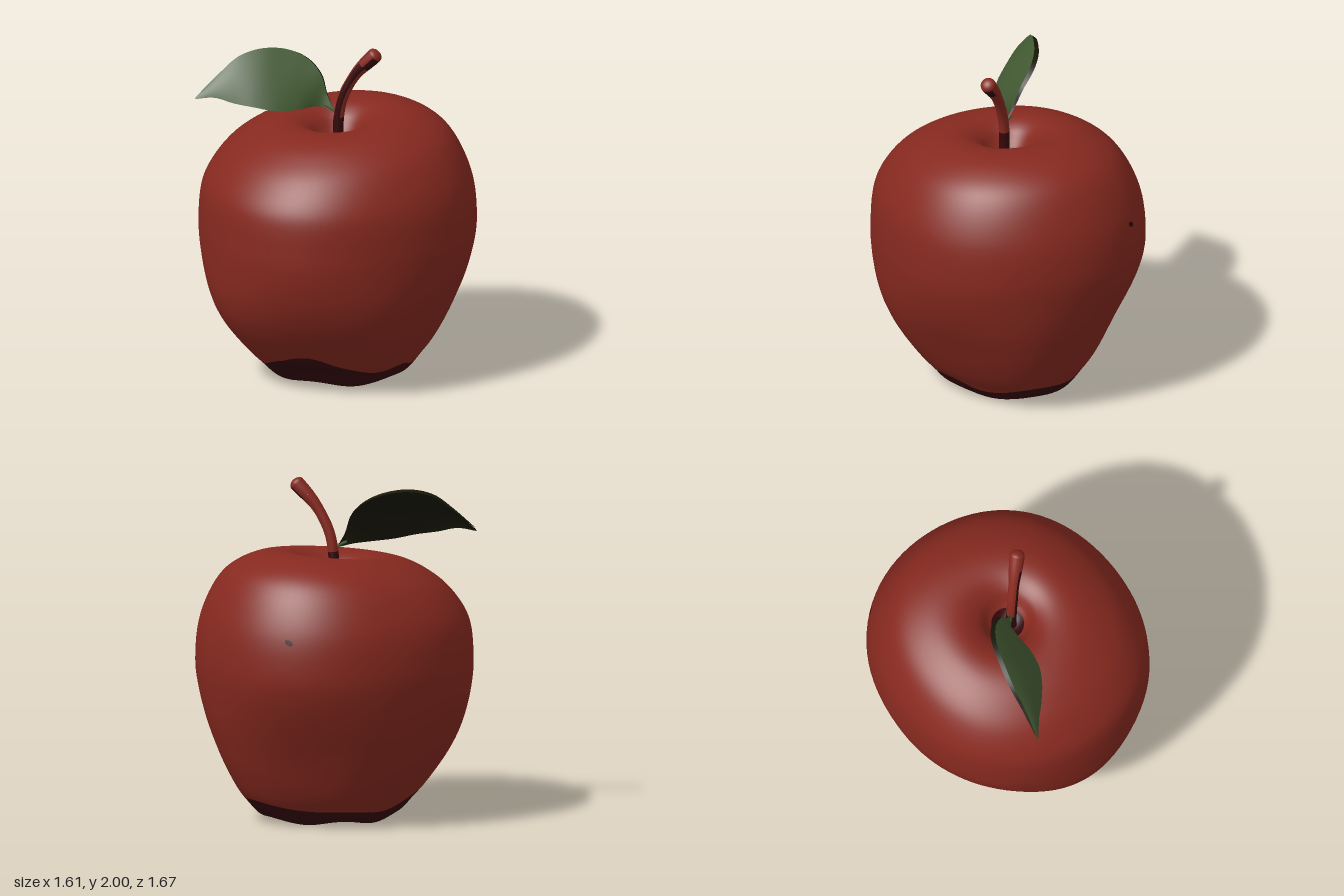
import * as THREE from 'three';

const mat = (name, color) => {
  const m = new THREE.MeshStandardMaterial({ color });
  m.name = name;
  return m;
};

// Smooth grid surface from fn(u, v) -> Vector3, facing along du x dv
function surface(fn, nu, nv) {
  const pos = [], nor = [], idx = [], e = 1e-3;
  for (let j = 0; j <= nv; j++) {
    for (let i = 0; i <= nu; i++) {
      const u = i / nu, v = j / nv;
      const du = fn(u + e, v).sub(fn(u - e, v));
      const dv = fn(u, v + e).sub(fn(u, v - e));
      pos.push(...fn(u, v).toArray());
      nor.push(...du.cross(dv).normalize().toArray());
      if (i < nu && j < nv) {
        const a = j * (nu + 1) + i, b = a + nu + 1;
        idx.push(a, a + 1, b, a + 1, b + 1, b);
      }
    }
  }
  const g = new THREE.BufferGeometry();
  g.setAttribute('position', new THREE.Float32BufferAttribute(pos, 3));
  g.setAttribute('normal', new THREE.Float32BufferAttribute(nor, 3));
  g.setIndex(idx);
  return g;
}

const curve = (pts) => new THREE.CatmullRomCurve3(pts.map(([x, y, z = 0]) => new THREE.Vector3(x, y, z)));
const clamp = (t) => THREE.MathUtils.clamp(t, 0, 1);
const smooth = THREE.MathUtils.smoothstep;
const TURN = Math.PI * 2;

// Fruit profile (radius, height) from the underside hollow to the stem hollow
const profile = curve([
  [0.001, 0.2], [0.1, 0.17], [0.2, 0.07], [0.3, 0.018], [0.39, 0.03], [0.475, 0.12], [0.54, 0.2],
  [0.662, 0.4], [0.749, 0.6], [0.798, 0.8], [0.81, 0.95], [0.782, 1.19], [0.667, 1.4], [0.54, 1.5],
  [0.39, 1.557], [0.26, 1.556], [0.17, 1.51], [0.11, 1.435], [0.06, 1.39], [0.001, 1.38],
]);
const LAST = 19;

// Point on the fruit: angle a (0 = front), k = position along the profile points
function fruit(a, k) {
  const p = profile.getPoint(clamp(k / LAST));
  const low = 1 - smooth(p.y, 0.05, 0.5);
  const square = 1 - smooth(p.y, 0.3, 0.9);
  const lobe = Math.cos(5 * a + 0.6) * (1 - smooth(p.y, 0.05, 0.3)) * smooth(k, 0, 3);
  const round = 0.018 * Math.cos(2 * a) - (0.025 + 0.02 * square) * Math.sin(2 * a)
    + (0.012 - 0.05 * square) * Math.cos(4 * a);
  const r = p.x * (1 + round * smooth(p.x, 0.2, 0.5) + 0.02 * lobe);
  const x = r * Math.sin(a), z = r * Math.cos(a);
  const tilt = smooth(p.y, 1.1, 1.5) * (0.05 * x - 0.07 * z);
  const lean = 0.032 * Math.sin(Math.PI * Math.min(p.y, 1)) ** 2 * smooth(k, 3, 6);
  return new THREE.Vector3(x + 0.02 * low, p.y + tilt + 0.012 * lobe, z + lean - 0.02 * low);
}

// Wavy edge between the dark underside and the skin, sampled every 22.5 degrees from the front
const waves = [6.25, 5.7, 5, 5.05, 4.7, 4.85, 5.3, 5.1, 4.9, 4.7, 4.7, 4.8, 5, 5.5, 5.1, 5.9];
const edgeCurve = new THREE.CatmullRomCurve3(waves.map((k) => new THREE.Vector3(k, 0, 0)), true, 'catmullrom');
const edge = (a) => edgeCurve.getPoint(((a + TURN) % TURN) / TURN).x;
const SOCKET = 17.3;

function band(from, to, rows) {
  return surface((u, v) => {
    const a = u * TURN, k0 = from(a);
    return fruit(a, k0 + (to(a) - k0) * v);
  }, 96, rows);
}

export function createModel() {
  const red = mat('skin red', 0x86291f);
  const dark = mat('dark maroon', 0x34070a);
  const green = mat('leaf green', 0x425932);
  const underGreen = mat('leaf underside', 0x181706);
  const olive = mat('calyx olive', 0x303a0e);

  const group = new THREE.Group();
  const add = (name, geo, material, parent = group) => {
    const m = new THREE.Mesh(geo, material);
    m.name = name;
    parent.add(m);
    return m;
  };

  // Fruit body
  add('underside', band(() => 0, edge, 28), dark);
  add('skin', band(edge, () => SOCKET, 80), red);
  add('stemSocket', band(() => SOCKET, () => LAST, 8), dark);

  // Small blemish on the back of the skin
  add('blemish', surface((u, v) => {
    const s = Math.max(u, 0) + 0.01, a = v * TURN;
    return fruit(3.11 + 0.03 * s * Math.cos(a), 10.82 + 0.07 * s * Math.sin(a - 0.5)).multiplyScalar(1.002);
  }, 3, 16), dark);

  // Calyx in the underside hollow, pointing down
  const calyx = add('calyx', new THREE.ConeGeometry(0.115, 0.1, 10), olive);
  calyx.position.set(0.01, 0.12, -0.01);
  calyx.rotation.x = Math.PI;

  // Stem: bent tube flaring to the tip, with a dark foot, front strip and patch under the tip
  const path = curve([
    [0.015, 1.36, 0.02], [0.012, 1.55, 0.02], [0.04, 1.69, 0.02], [0.12, 1.84, 0.017], [0.232, 1.961, 0.013],
  ]);
  const stemPoint = (a, v) => {
    const t = clamp(v), p = path.getPoint(t), d = path.getTangent(t);
    const side = new THREE.Vector3(d.y, -d.x, 0).normalize();
    const r = 0.031 + 0.014 * smooth(t, 0.65, 1);
    p.z += r * Math.cos(a);
    return p.addScaledVector(side, r * Math.sin(a));
  };
  const stem = new THREE.Group();
  stem.name = 'stem';
  group.add(stem);
  const strips = [
    ['stemFoot', 0, TURN, 0, 0.28, dark],
    ['stemFrontStrip', -0.8, 0.5, 0.28, 0.86, dark],
    ['stemBark', 0.5, TURN - 0.8, 0.28, 0.86, red],
    ['stemTipPatch', 0.1, 2.5, 0.86, 1, dark],
    ['stemTipBark', 2.5, TURN + 0.1, 0.86, 1, red],
  ];
  for (const [name, a0, a1, v0, v1, material] of strips) {
    add(name, surface((u, v) => stemPoint(a0 + (a1 - a0) * u, v0 + (v1 - v0) * v), 16, 14), material, stem);
  }
  const tip = add('stemTip', new THREE.SphereGeometry(0.045, 20, 14), red, stem);
  tip.position.copy(path.getPoint(1));
  tip.quaternion.setFromUnitVectors(new THREE.Vector3(0, 1, 0), path.getTangent(1));
  tip.scale.y = 0.7;

  // Leaf: lofted between its lower front edge and upper rear edge
  const lower = curve([
    [-0.02, 1.6, 0.03], [-0.1, 1.622, 0.04], [-0.2, 1.625, 0.16], [-0.3, 1.632, 0.24],
    [-0.41, 1.655, 0.28], [-0.54, 1.675, 0.3], [-0.66, 1.7, 0.308], [-0.77, 1.685, 0.325],
  ]);
  const upper = curve([
    [-0.02, 1.615, 0.02], [-0.065, 1.69, 0.005], [-0.11, 1.8, -0.02], [-0.2, 1.885, -0.035],
    [-0.31, 1.935, -0.01], [-0.44, 1.95, 0.06], [-0.56, 1.915, 0.14], [-0.655, 1.825, 0.225], [-0.77, 1.695, 0.318],
  ]);
  const leafPoint = (u, v, drop) => {
    const t = clamp(v);
    const p = lower.getPointAt(t).lerp(upper.getPointAt(t), u);
    const bulge = 0.05 * u * (1 - u) * Math.sin(Math.PI * t) - drop;
    return p.add(new THREE.Vector3(0, bulge, bulge));
  };
  const leaf = new THREE.Group();
  leaf.name = 'leaf';
  group.add(leaf);
  add('leafTop', surface((u, v) => leafPoint(u, v, 0), 12, 40), green, leaf);
  add('leafUnderside', surface((u, v) => leafPoint(1 - u, v, 0.005), 12, 40), underGreen, leaf);

  // Rear edge of the leaf, folded backwards
  add('leafFold', surface((u, v) => {
    const t = clamp(v), w = u * Math.sin(Math.PI * t) ** 0.7;
    return upper.getPointAt(t).add(new THREE.Vector3(0, -0.012 * w, -0.03 * w));
  }, 3, 40), underGreen, leaf);

  // Leaf stalk joining the stem
  add('leafStalk', new THREE.TubeGeometry(curve([
    [0.015, 1.58, 0.02], [-0.03, 1.612, 0.023], [-0.07, 1.632, 0.025],
  ]), 10, 0.01, 8), green, leaf);

  return group;
}
